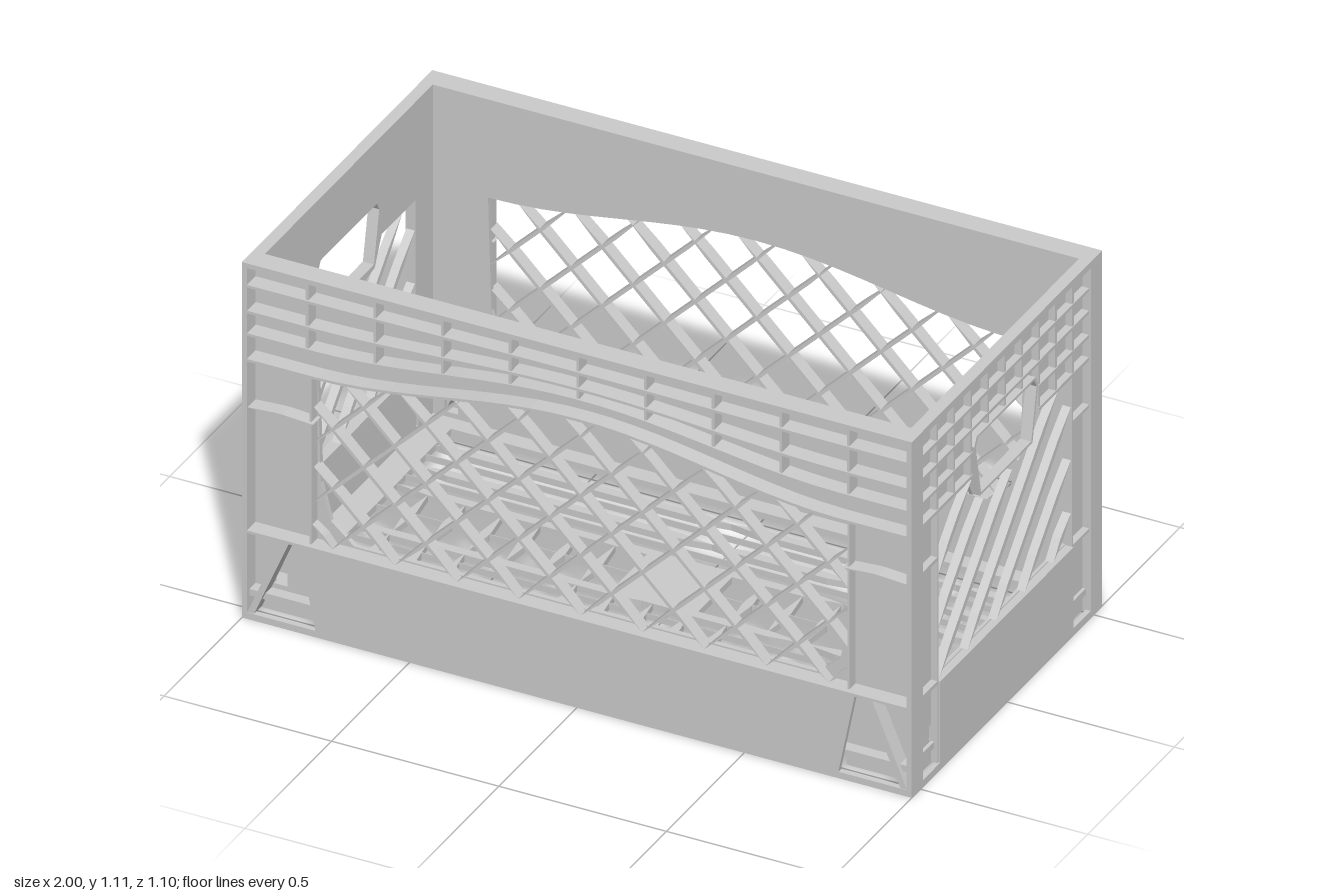
import * as THREE from 'three';

const mat = new THREE.MeshStandardMaterial({ color: 0xcccccc, flatShading: true, side: THREE.DoubleSide });

function add(parent, name, geo) {
  const m = new THREE.Mesh(geo, mat);
  m.name = name;
  parent.add(m);
  return m;
}

// Box given by its minimum and maximum corners
function box(parent, name, x0, x1, y0, y1, z0, z1) {
  const m = add(parent, name, new THREE.BoxGeometry(x1 - x0, y1 - y0, z1 - z0));
  m.position.set((x0 + x1) / 2, (y0 + y1) / 2, (z0 + z1) / 2);
  return m;
}

const toShape = pts => new THREE.Shape(pts.map(p => new THREE.Vector2(...p)));

// Flat outline with holes, from depth z0 to z1
function slab(parent, name, pts, holes, z0, z1) {
  const s = toShape(pts);
  s.holes = holes.map(toShape);
  const m = add(parent, name, new THREE.ExtrudeGeometry(s, { depth: z1 - z0, bevelEnabled: false }));
  m.position.z = z0;
  return m;
}

// Slat with long pointed ends between two points
function slat(parent, name, a, b, width, z0, z1) {
  const dx = b[0] - a[0], dy = b[1] - a[1], len = Math.hypot(dx, dy);
  const w = width / 2, t = Math.min(0.1, len * 0.45);
  const m = slab(parent, name, [[0, 0], [t, -w], [len - t, -w], [len, 0], [len - t, w], [t, w]], [], z0, z1);
  m.position.set(a[0], a[1], z0);
  m.rotation.z = Math.atan2(dy, dx);
  return m;
}

const rect = (x0, x1, y0, y1) => [[x0, y0], [x1, y0], [x1, y1], [x0, y1]];
// Panel outline whose two legs reach lower than its middle
const legged = (w, leg) => [[-w, 0.015], [-leg, 0.015], [-leg, 0.07], [leg, 0.07], [leg, 0.015], [w, 0.015], [w, 1.1], [-w, 1.1]];
const bell = u => (Math.abs(u) < 0.8 ? 0.5 + 0.5 * Math.cos(Math.PI * u / 0.8) : 0);

// Samples of a curve y = f(u) from u0 to u1
function curve(f, u0, u1, n = 20) {
  return Array.from({ length: n + 1 }, (_, i) => {
    const u = u0 + (u1 - u0) * i / n;
    return [u, f(u)];
  });
}

// Diagonal slats clipped to an opening
function lattice(parent, half, top, spacing, offset, dir, width, z0, z1) {
  const bottom = 0.275;
  for (let k = -10; k <= 10; k++) {
    let first = null, last = null;
    for (let y = bottom; y < 0.95; y += 0.005) {
      const u = offset + k * spacing + dir * (y - bottom);
      if (Math.abs(u) <= half && y <= top(u)) {
        first = first || [u, y];
        last = [u, y];
      }
    }
    if (first && last[1] - first[1] > 0.06) slat(parent, 'latticeSlat', first, last, width, z0, z1);
  }
}

// Long wall, outer face at z = 0.55
function longWall() {
  const g = new THREE.Group();
  const arch = u => 0.8 + 0.09 * bell(u);
  const opening = [[-0.69, 0.28], [0.69, 0.28], [0.76, 0.34], [0.79, 0.45],
    ...curve(arch, 0.8, -0.8), [-0.79, 0.45], [-0.76, 0.34]];
  slab(g, 'wallPanel', legged(0.985, 0.78),
    [opening, rect(-0.93, -0.89, 0.1, 0.14), rect(0.89, 0.93, 0.1, 0.14)], 0.485, 0.5);

  // Horizontal ribs, bowed upward in the middle
  for (const [base, rise] of [[1.09, 0], [1.03, 0.005], [0.95, 0.035], [0.88, 0.07], [0.8, 0.09]]) {
    const lower = curve(u => base + rise * bell(u), -0.99, 0.99, 28);
    const upper = lower.map(([u, y]) => [u, y + 0.008]).reverse();
    slab(g, 'bowedRib', [...lower, ...upper], [], 0.5, 0.55);
  }
  // Upright ribs
  for (let i = -4; i <= 4; i++) {
    const u = i * 0.202;
    box(g, 'uprightRib', u - 0.004, u + 0.004, 0.88 + 0.07 * bell(u), 1.1, 0.5, 0.545);
  }
  // Lower band with its ledge
  slab(g, 'lowerBand', [[-0.78, 0.015], [0.78, 0.015], [0.83, 0.27], [-0.83, 0.27]], [], 0.535, 0.55);
  box(g, 'bandLedge', -0.99, 0.99, 0.267, 0.275, 0.485, 0.55);
  box(g, 'bottomLip', -1, 1, 0, 0.02, 0.535, 0.55);

  for (const s of [-1, 1]) {
    box(g, 'cornerCap', s * 0.9925 - 0.0075, s * 0.9925 + 0.0075, 0, 1.1, 0.485, 0.55);
    box(g, 'postEdge', s * 0.803 - 0.003, s * 0.803 + 0.003, 0.275, 0.8, 0.49, 0.535);
    slat(g, 'postRib', [s * 0.79, 0.655], [s * 0.99, 0.655], 0.012, 0.5, 0.545);
    slab(g, 'cornerStrut', [[s * 0.985, 0.02], [s * 0.965, 0.02], [s * 0.86, 0.27], [s * 0.88, 0.27]], [], 0.5, 0.548);
  }
  for (const dir of [-1, 1]) lattice(g, 0.8, arch, 0.185, 0, dir, 0.01, 0.49, 0.53);
  return g;
}

// End wall, outer face at z = 1, with a hand hold
function endWall(dir) {
  const g = new THREE.Group();
  const hold = [[-0.145, 0.73], [0.145, 0.73], [0.176, 0.885], [0.162, 0.91], [-0.162, 0.91], [-0.176, 0.885]];
  const edge = [[0.39, 0.8], [0.19, 0.8], [0.15, 0.718], [0.05, 0.695], [-0.05, 0.695], [-0.15, 0.718], [-0.19, 0.8], [-0.39, 0.8]];
  const top = u => {
    const a = Math.abs(u);
    return a > 0.19 ? 0.8 : a > 0.15 ? 0.72 + (a - 0.15) * 2 : 0.7;
  };
  const opening = [[-0.385, 0.275], [0.385, 0.275], ...edge];
  slab(g, 'endPanel', legged(0.49, 0.38),
    [opening, hold, rect(-0.402, -0.391, 0.09, 0.135), rect(0.391, 0.402, 0.09, 0.135)], 0.965, 0.975);

  // Rim around the hand hold
  slab(g, 'handHoldRim', hold.map(([u, y]) => [u * 1.05, 0.82 + (y - 0.82) * 1.08]), [hold], 0.965, 0.998);

  // Rib grid of the upper panel
  box(g, 'topRib', -0.49, 0.49, 1.085, 1.1, 0.97, 1);
  for (const y of [1.02, 0.95]) box(g, 'crossRib', -0.48, 0.48, y - 0.005, y + 0.005, 0.97, 0.997);
  for (const s of [-1, 1]) {
    for (const y of [0.875, 0.805]) {
      box(g, 'shortRib', Math.min(s * 0.19, s * 0.48), Math.max(s * 0.19, s * 0.48), y - 0.005, y + 0.005, 0.97, 0.997);
    }
    // Corner post ribs
    for (const y of [0.27, 0.655]) {
      box(g, 'postRib', Math.min(s * 0.39, s * 0.49), Math.max(s * 0.39, s * 0.49), y - 0.005, y + 0.005, 0.97, 0.995);
    }
    box(g, 'postEdge', s * 0.388 - 0.003, s * 0.388 + 0.003, 0.02, 0.87, 0.965, 0.995);
  }
  for (let i = -4; i <= 4; i++) {
    const u = i * 0.098, y0 = Math.abs(i) < 2 ? 0.92 : 0.8;
    box(g, 'uprightRib', u - 0.005, u + 0.005, y0, 1.09, 0.97, 0.995);
  }
  // Lower band
  box(g, 'lowerBand', -0.385, 0.385, 0.015, 0.272, 0.985, 1);
  box(g, 'bandLedge', -0.385, 0.385, 0.264, 0.272, 0.965, 0.99);
  box(g, 'bottomLip', -0.545, 0.545, 0, 0.02, 0.985, 1);
  lattice(g, 0.387, top, 0.165, -dir * 0.045, dir, 0.018, 0.967, 0.992);
  return g;
}

// Open grid floor, drawn flat with z as its second axis
function floor() {
  const g = new THREE.Group();
  slab(g, 'floorFrame', rect(-0.985, 0.985, -0.535, 0.535), [rect(-0.885, 0.885, -0.435, 0.43)], 0, 0.02);
  slab(g, 'centrePad', [[-0.13, -0.13], [0.125, -0.13], [0.125, 0.09], [0.11, 0.11], [-0.11, 0.11], [-0.13, 0.09]], [], 0, 0.02);
  const breaks = [-0.885, 0, 0.45, 0.67, 0.885];
  for (const z of [-0.345, -0.23, -0.12, 0.105, 0.215, 0.33]) {
    for (let i = 0; i < 4; i++) slat(g, 'longSlat', [breaks[i], z], [breaks[i + 1], z], 0.028, 0, 0.02);
  }
  // Thin fins between the long slats
  for (const z of [-0.29, -0.175, -0.005, 0.16, 0.27]) box(g, 'longFin', -0.885, 0.885, z - 0.001, z + 0.001, 0, 0.02);
  for (let i = -7; i <= 7; i++) {
    const x = i * 0.112;
    if (Math.abs(i) > 1) slat(g, 'crossSlat', [x, -0.11], [x, 0.1], 0.026, 0, 0.02);
    if ([-7, -6, -5, -2, -1, 0, 1, 2].includes(i)) slat(g, 'crossSlat', [x, 0.11], [x, 0.31], 0.026, 0, 0.02);
    if ([-7, 2, 3, 4].includes(i)) slat(g, 'crossSlat', [x, 0.22], [x, 0.43], 0.026, 0, 0.02);
  }
  g.rotation.x = Math.PI / 2;
  g.position.y = 0.085;
  return g;
}

export function createModel() {
  const model = new THREE.Group();
  model.name = 'crate';
  const place = (part, name, angle) => {
    part.name = name;
    part.rotation.y = angle;
    model.add(part);
  };
  place(longWall(), 'frontWall', 0);
  place(longWall(), 'backWall', Math.PI);
  place(endWall(1), 'leftWall', Math.PI / 2);
  place(endWall(-1), 'rightWall', -Math.PI / 2);
  place(floor(), 'floor', 0);

  // Top rim
  const rim = slab(model, 'topRim', rect(-1, 1, -0.55, 0.55), [rect(-0.965, 0.965, -0.485, 0.485)], 0, 0.012);
  rim.rotation.x = Math.PI / 2;
  rim.position.set(0, 1.105, 0);
  return model;
}
